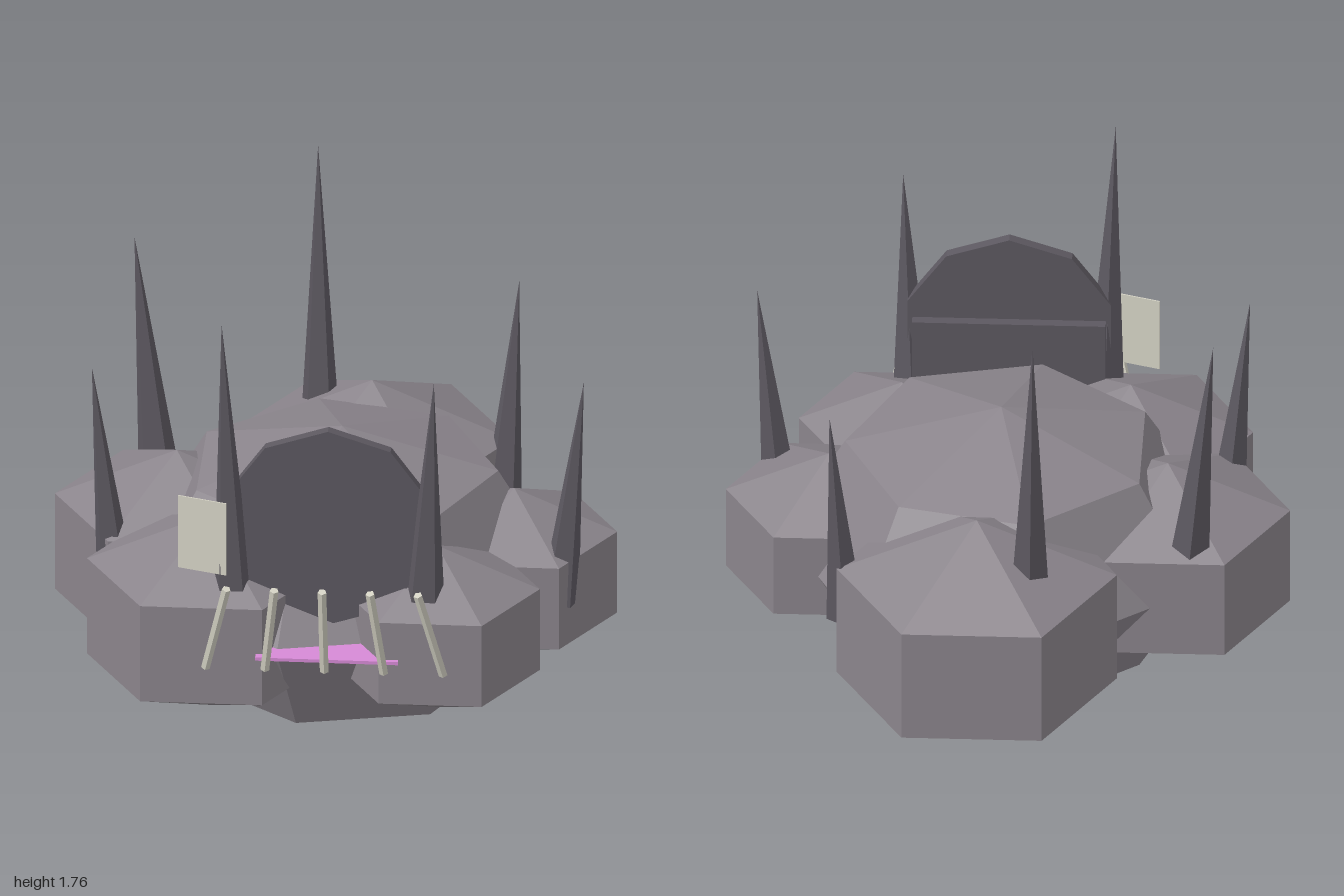
import * as THREE from 'three';

const stone = new THREE.MeshStandardMaterial({ color: 0x8a848b });
stone.name = 'grey stone';
const dark = new THREE.MeshStandardMaterial({ color: 0x5c5860 });
dark.name = 'dark stone';
const bone = new THREE.MeshStandardMaterial({ color: 0xd3d1c3 });
bone.name = 'pale bone';
const pink = new THREE.MeshStandardMaterial({ color: 0xd68ad6 });
pink.name = 'pink';

export function createModel() {
  const model = new THREE.Group();
  model.name = 'spikedRock';

  // Adds a faceted mesh with one normal per face
  const add = (name, geometry, material, x, y, z) => {
    const flat = geometry.toNonIndexed();
    flat.computeVertexNormals();
    const mesh = new THREE.Mesh(flat, material);
    mesh.name = name;
    mesh.position.set(x, y, z);
    model.add(mesh);
    return mesh;
  };

  // Adds a rod or cone running from one point to another
  const addBetween = (name, from, to, rTop, rBottom, sides, material, turn) => {
    const a = new THREE.Vector3(...from);
    const b = new THREE.Vector3(...to);
    const dir = b.clone().sub(a);
    const geo = rTop > 0
      ? new THREE.CylinderGeometry(rTop, rBottom, dir.length(), sides)
      : new THREE.ConeGeometry(rBottom, dir.length(), sides);
    geo.rotateY(turn);
    const mid = a.add(b).multiplyScalar(0.5);
    const mesh = add(name, geo, material, mid.x, mid.y, mid.z);
    mesh.quaternion.setFromUnitVectors(new THREE.Vector3(0, 1, 0), dir.normalize());
  };

  // Central body: flattened seven-sided ball
  const midY = 0.525;
  const core = new THREE.SphereGeometry(1, 7, 4);
  core.rotateY(Math.PI);
  core.scale(0.765, 0.522, 0.765);
  add('body', core, stone, 0.02, midY, 0);

  // Hexagonal lobes around the body: x, z, outer radius, half height
  const lobes = [
    ['backLobe', 0.08, -0.58, 0.485, 0.42],
    ['frontRightLobe', -0.41, 0.415, 0.423, 0.365],
    ['rightLobe', -0.56, -0.09, 0.423, 0.365],
    ['leftLobe', 0.617, 0.01, 0.357, 0.31],
    ['frontLeftLobe', 0.385, 0.485, 0.357, 0.31],
  ];
  for (const [name, x, z, r, h] of lobes) {
    const geo = new THREE.SphereGeometry(1, 6, 3);
    const k = r / Math.sin(Math.PI / 3);
    geo.scale(k, h, k);
    add(name, geo, stone, x, midY, z);
  }

  // Tall spikes leaning outward: base point, tip point
  const spikes = [
    [[-0.11, 0.72, -0.69], [-0.12, 1.76, -0.745]],
    [[-0.31, 0.72, 0.655], [-0.345, 1.76, 0.7]],
    [[0.355, 0.715, 0.655], [0.39, 1.555, 0.69]],
    [[-0.65, 0.715, -0.37], [-0.73, 1.555, -0.395]],
    [[-0.75, 0.515, 0.21], [-0.83, 1.35, 0.23]],
    [[0.535, 0.515, -0.525], [0.59, 1.345, -0.575]],
    [[0.79, 0.515, 0.22], [0.875, 1.355, 0.23]],
  ];
  for (const [base, tip] of spikes) {
    addBetween('spike', base, tip, 0, 0.07, 5, dark, Math.PI);
  }

  // Upright ten-sided disc with a bar behind it
  const disc = new THREE.CylinderGeometry(0.37, 0.37, 0.04, 10);
  disc.rotateX(-Math.PI / 2);
  add('disc', disc, dark, 0.02, 0.97, 0.637);
  add('discBacking', new THREE.BoxGeometry(0.67, 0.28, 0.04), dark, 0.02, 0.88, 0.6);

  // Thin pale tablet beside the disc
  const tablet = add('tablet', new THREE.BoxGeometry(0.18, 0.275, 0.005), bone, -0.413, 0.942, 0.687);
  tablet.rotation.y = -0.31;

  // Pink ledge at the front
  add('ledge', new THREE.BoxGeometry(0.495, 0.012, 0.24), pink, 0.027, 0.533, 0.69);

  // Row of slanted pickets fanning out at the foot
  for (let i = -2; i <= 2; i++) {
    addBetween('picket', [0.025 + i * 0.206, 0.53, 0.88], [0.025 + i * 0.166, 0.883, 0.985],
      0.016, 0.016, 5, bone, 0);
  }

  return model;
}
